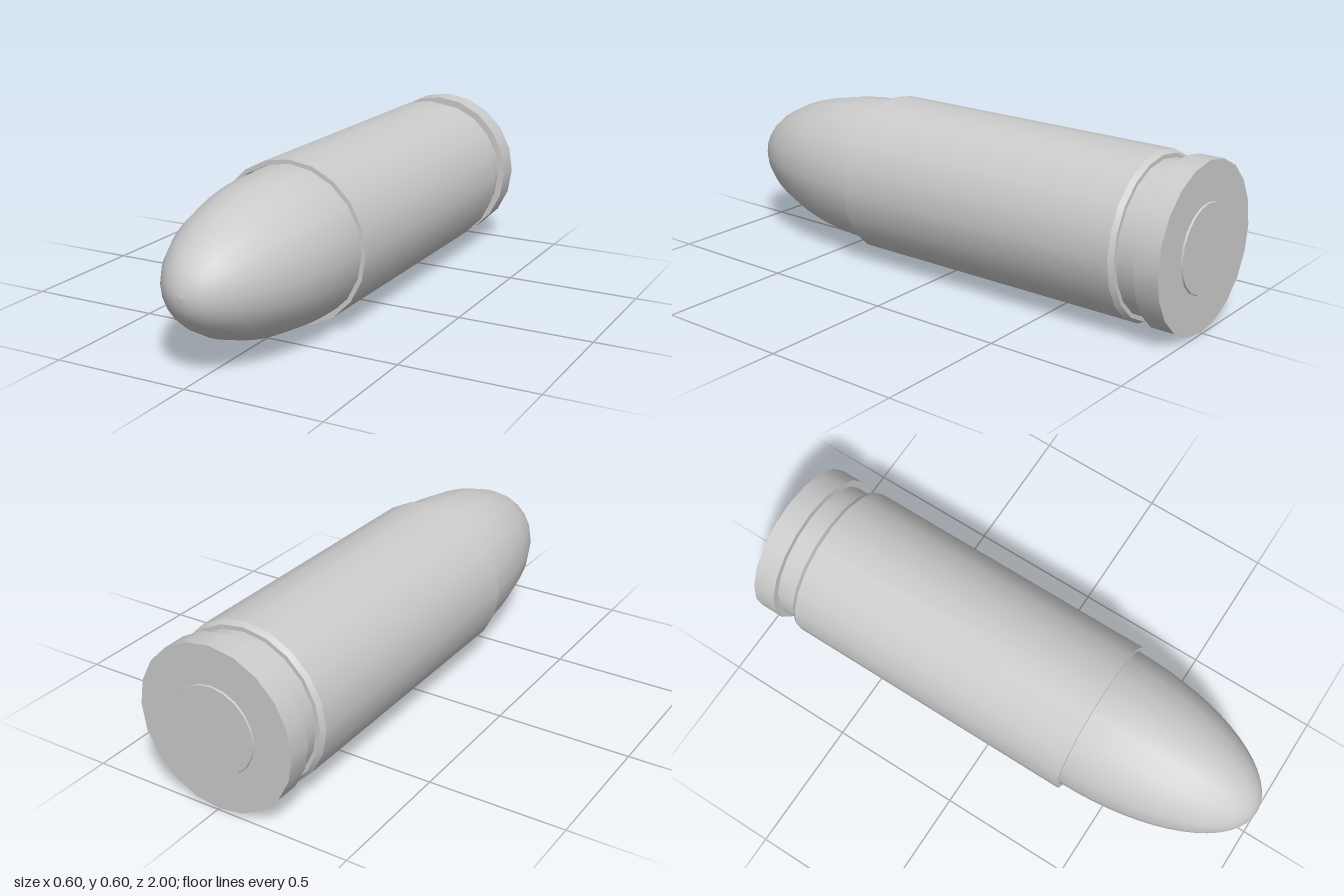
import * as THREE from 'three';
import { mergeGeometries } from 'three/addons/utils/BufferGeometryUtils.js';

const SIDES = 20;
const AXIS_HEIGHT = 0.3;

// Turn [radius, z] profiles (ordered back to front) about the z axis; smooth within each run.
function turned(name, runs, material) {
  const parts = runs.map((run) =>
    new THREE.LatheGeometry(run.map(([r, z]) => new THREE.Vector2(r, z)), SIDES));
  const mesh = new THREE.Mesh(mergeGeometries(parts).rotateX(Math.PI / 2), material);
  mesh.name = name;
  mesh.position.y = AXIS_HEIGHT;
  return mesh;
}

// Split a profile into separate straight runs so that every corner stays sharp.
const sharp = (points) => points.slice(1).map((p, i) => [points[i], p]);

export function createModel() {
  const group = new THREE.Group();
  group.name = 'cartridge';
  const material = new THREE.MeshStandardMaterial({ color: 0xcccccc });

  // Casing: flat base, rim, extraction groove, bevel, body wall, open mouth
  group.add(turned('casing', sharp([
    [0, -0.994], [0.3, -0.994], [0.3, -0.905], [0.273, -0.905], [0.273, -0.825],
    [0.288, -0.825], [0.3, -0.808], [0.3, 0.345], [0.284, 0.345], [0.284, 0.3], [0.27, 0.3],
  ]), material));

  // Primer: low disc standing just proud of the base
  group.add(turned('primer', sharp([[0, -1], [0.157, -1], [0.16, -0.99]]), material));

  // Bullet: straight shank running into a half-elliptical nose
  const nose = [];
  const steps = 16;
  for (let i = 0; i <= steps; i++) {
    const a = (i / steps) * Math.PI / 2;
    nose.push([i === steps ? 0 : 0.28 * Math.cos(a), 0.35 + 0.65 * Math.sin(a)]);
  }
  group.add(turned('bullet', [[[0.28, 0.29], ...nose]], material));

  return group;
}
